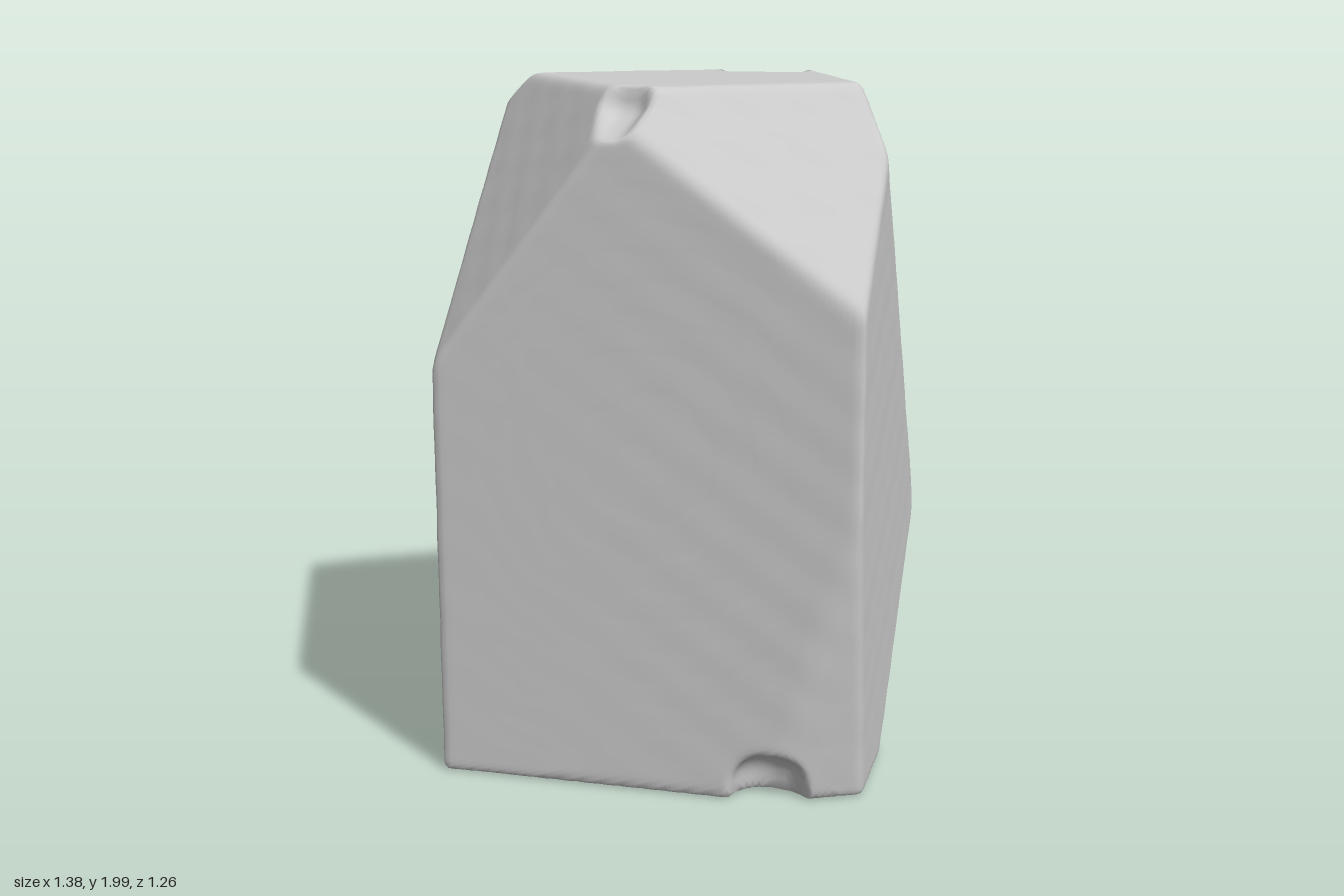
import * as THREE from 'three';
import { mergeVertices } from 'three/addons/utils/BufferGeometryUtils.js';

const CENTRE = new THREE.Vector3(0, 1, 0);
const V = (a) => new THREE.Vector3(...a);

// plane through three points, turned to face away from the centre
function cut(a, b, c) {
  const p = new THREE.Plane().setFromCoplanarPoints(V(a), V(b), V(c));
  return p.distanceToPoint(CENTRE) > 0 ? p.negate() : p;
}
const side = (x, y, z, d) => new THREE.Plane(new THREE.Vector3(x, y, z).normalize(), -d);

const FACETS = [
  // main block
  side(0, -1, 0, -0.01), side(0, 1, 0, 2),
  side(0.206, 0, 0.979, 0.511), side(-0.206, 0, -0.979, 0.524),
  side(0.979, 0, -0.206, 0.602), side(-0.979, 0, 0.206, 0.627),
  side(-0.866, 0, -0.5, 0.72),
  // upper corner cuts
  cut([-0.51, 1.23, 0.62], [0, 1.9, 0.515], [-0.52, 2, 0]),
  cut([0.685, 1.43, 0.37], [-0.07, 2, 0.52], [0.52, 2, -0.06]),
  cut([0.6, 1.81, 0], [0.48, 0.7, -0.635], [0.14, 2, -0.56]),
  cut([-0.56, 2, -0.02], [-0.1, 2, -0.46], [-0.65, 1.71, -0.3]),
  // lower corner cuts
  cut([0.69, 0.82, 0.37], [0.46, 0, 0.42], [0.645, 0, 0.28]),
  cut([0.58, 0, -0.08], [0.48, 0.58, -0.63], [0.14, 0, -0.56]),
  cut([-0.45, 0, -0.436], [-0.62, 0, 0.1], [-0.67, 0.75, -0.28]),
  // lower back edge
  cut([0.14, 0.09, -0.56], [-0.45, 0.1, -0.43], [0, 0.01, -0.28]),
];

// chipped notches: position, half size, rotation, corner radius
const CHIPS = [
  [[0, 2, 0.5], [0.01, 0.05, 0.04], [0.5, 0, 0], 0.07],
  [[0, 1.93, -0.52], [0.085, 0.13, 0.11], [0.15, 0.2, -0.25], 0.025],
  [[-0.53, 1.73, -0.42], [0.12, 0.13, 0.06], [0, 0.6, 0.6], 0.025],
  [[-0.67, 1.79, -0.15], [0.03, 0.1, 0.06], [0.3, 0.2, 0], 0.025],
  [[-0.57, 0.98, -0.42], [0.06, 0.09, 0.05], [0, 0.6, 0.5], 0.025],
  [[-0.62, 0.84, -0.34], [0.12, 0.04, 0.03], [0, 1.05, -0.4], 0.035],
  [[0.45, 0.04, 0.44], [0.01, 0.01, 0.01], [0, 0, 0], 0.1],
  [[-0.31, 0.1, -0.48], [0.07, 0.01, 0.01], [0, 0.2, 0], 0.06],
].map(([pos, half, rot, radius]) => ({
  pos: V(pos), half: V(half), radius,
  turn: new THREE.Quaternion().setFromEuler(new THREE.Euler(...rot)).invert(),
}));

// blended maximum, rounding the edge where two surfaces meet
function blend(a, b, k) {
  const h = Math.max(k - Math.abs(a - b), 0) / k;
  return Math.max(a, b) + h * h * k * 0.25;
}

const q = new THREE.Vector3();
function chipDistance(p, c) {
  q.copy(p).sub(c.pos).applyQuaternion(c.turn);
  const x = Math.abs(q.x) - c.half.x, y = Math.abs(q.y) - c.half.y, z = Math.abs(q.z) - c.half.z;
  const out = Math.hypot(Math.max(x, 0), Math.max(y, 0), Math.max(z, 0));
  return out + Math.min(Math.max(x, y, z), 0) - c.radius;
}

// signed distance to the stone surface
function stone(p) {
  let d = -10;
  for (const f of FACETS) d = blend(d, f.distanceToPoint(p), 0.02);
  for (const c of CHIPS) d = blend(d, -chipDistance(p, c), 0.02);
  // faint surface roughness
  return d + 0.001 * Math.sin(23 * p.x + 9 * p.y) * Math.sin(27 * p.y - 8 * p.z) * Math.sin(25 * p.z + 7 * p.x);
}

export function createModel() {
  const group = new THREE.Group();
  group.name = 'rock';

  // dense block whose vertices slide along rays to the stone surface
  let geo = new THREE.BoxGeometry(1.25, 2, 1.15, 90, 140, 86);
  geo.deleteAttribute('uv');
  geo.deleteAttribute('normal');
  geo = mergeVertices(geo, 1e-5);
  const pos = geo.attributes.position;
  const dir = new THREE.Vector3(), p = new THREE.Vector3();
  for (let i = 0; i < pos.count; i++) {
    dir.fromBufferAttribute(pos, i).normalize();
    let t = 0;
    for (let n = 0; n < 70; n++) {
      const d = stone(p.copy(CENTRE).addScaledVector(dir, t));
      if (d > -0.0004) break;
      t -= d * 0.97;
    }
    p.copy(CENTRE).addScaledVector(dir, t);
    pos.setXYZ(i, p.x, p.y, p.z);
  }
  geo.computeVertexNormals();

  const boulder = new THREE.Mesh(geo, new THREE.MeshStandardMaterial({ color: 0xcccccc }));
  boulder.name = 'facetedBoulder';
  group.add(boulder);
  return group;
}
